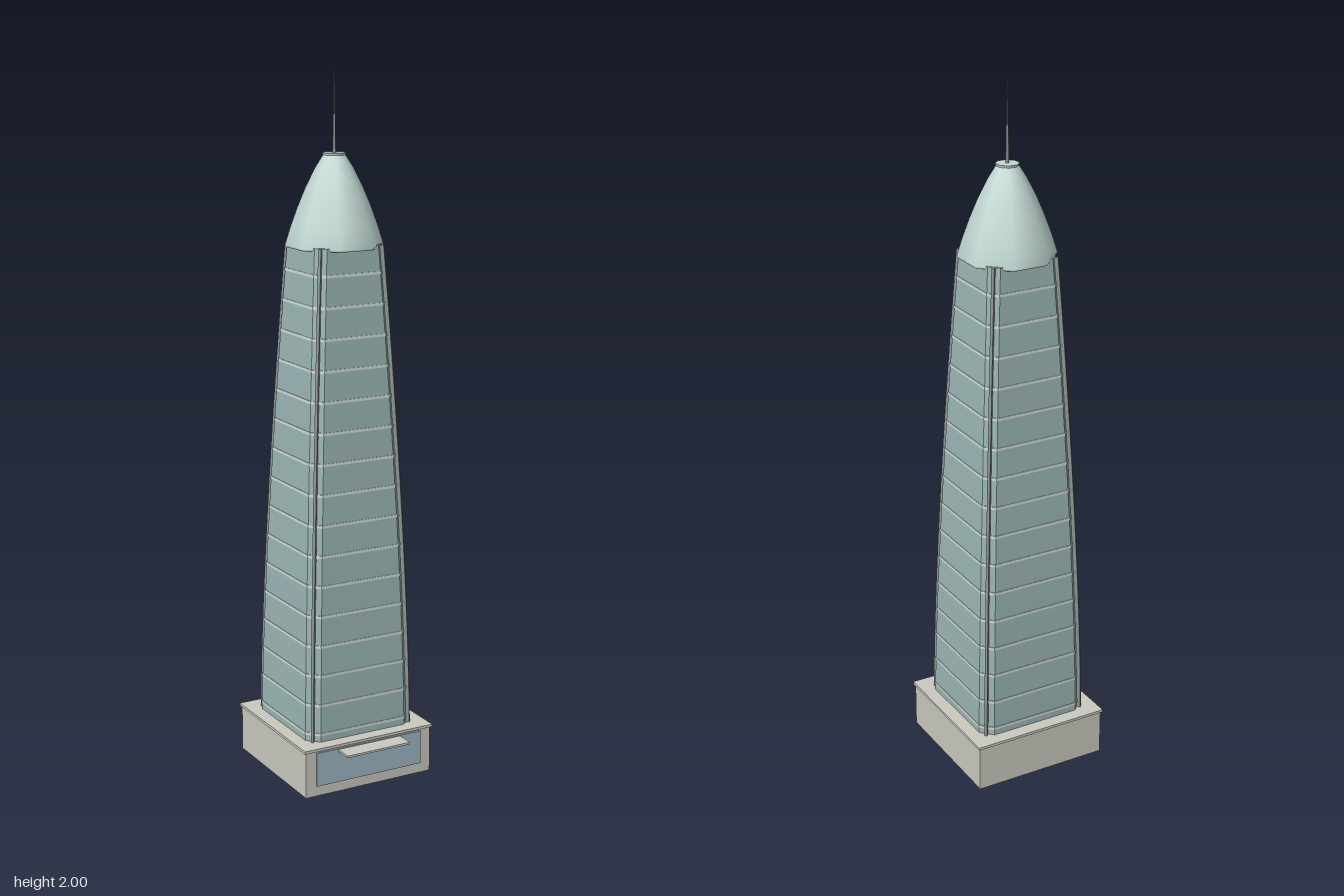
import * as THREE from 'three';

const CZ = -0.028;              // tower axis in z
const Y0 = 0.14, Y1 = 1.53;     // shaft bottom and top

const mat = (color) => new THREE.MeshStandardMaterial({ color });
const stone = mat(0xc9c9c0), glass = mat(0x9ab5b4), band = mat(0xcddad6);
const crownMat = mat(0xc2d9d3), metal = mat(0x8c9493), window_ = mat(0x9fb6c4);

// Shaft taper: half width and corner chamfer at height y
const t = (y) => (y - Y0) / (Y1 - Y0);
const half = (y) => 0.169 - 0.064 * Math.pow(Math.max(t(y), 0), 1.4);
const chamfer = (y) => 0.033 - 0.008 * t(y);

// Chamfered square section at height y, pushed out by d
function section(y, d = 0) {
  const h = half(y) + d, k = h - chamfer(y);
  return [[h, -k], [h, k], [k, h], [-k, h], [-h, k], [-h, -k], [-k, -h], [k, -h]]
    .map(([x, z]) => new THREE.Vector3(x, y, z));
}

// Rectangular fin section on the +x axis, to be turned to a corner
function finSection(y) {
  const r = (2 * half(y) - chamfer(y)) / Math.SQRT2, w = 0.004;
  return [[r + 0.011, -w], [r + 0.011, w], [r - 0.01, w], [r - 0.01, -w]]
    .map(([x, z]) => new THREE.Vector3(x, y, z));
}

// Skin a stack of rings and close both ends
function loft(rings) {
  const pos = [];
  const tri = (...p) => p.forEach((v) => pos.push(v.x, v.y, v.z));
  const n = rings[0].length;
  for (let i = 0; i < rings.length - 1; i++) {
    for (let j = 0; j < n; j++) {
      const a = rings[i][j], b = rings[i][(j + 1) % n];
      const c = rings[i + 1][j], d = rings[i + 1][(j + 1) % n];
      tri(a, c, b);
      tri(b, c, d);
    }
  }
  const lo = rings[0], hi = rings[rings.length - 1];
  for (let j = 1; j < n - 1; j++) {
    tri(lo[0], lo[j], lo[j + 1]);
    tri(hi[0], hi[j + 1], hi[j]);
  }
  const g = new THREE.BufferGeometry();
  g.setAttribute('position', new THREE.Float32BufferAttribute(pos, 3));
  g.computeVertexNormals();
  return g;
}

export function createModel() {
  const model = new THREE.Group();
  model.name = 'skyscraper';

  const add = (name, geometry, material, x = 0, y = 0, z = CZ) => {
    const m = new THREE.Mesh(geometry, material);
    m.name = name;
    m.position.set(x, y, z);
    model.add(m);
    return m;
  };

  // Podium with cornice, glazed front and entrance canopy
  add('podium', new THREE.BoxGeometry(0.406, 0.136, 0.406), stone, 0, 0.068);
  add('podiumCornice', new THREE.BoxGeometry(0.416, 0.008, 0.416), stone, 0, 0.139);
  add('lobbyGlass', new THREE.BoxGeometry(0.34, 0.1, 0.008), window_, 0, 0.08, 0.175);
  add('entranceCanopy', new THREE.BoxGeometry(0.202, 0.006, 0.058), stone, 0, 0.125, 0.203);

  // Tapering glass shaft
  const heights = Array.from({ length: 17 }, (_, i) => Y0 + ((Y1 - Y0) * i) / 16);
  add('shaft', loft(heights.map((y) => section(y))), glass);

  // Light floor bands
  for (let i = 0; i < 16; i++) {
    const a = 0.161 + i * 0.086, b = a + 0.008;
    add('floorBand', loft([section(a, -0.004), section(a, 0.0015), section(b, 0.0015), section(b, -0.004)]), band);
  }

  // Fins running up the four chamfered corners
  const finGeometry = loft(heights.map(finSection));
  for (let i = 0; i < 4; i++) {
    add('cornerFin', finGeometry, metal).rotation.y = Math.PI / 4 + (i * Math.PI) / 2;
  }

  // Eight-sided curved crown
  const profile = [[0.133, 1.52], [0.137, 1.526], [0.122, 1.575], [0.102, 1.63],
    [0.079, 1.685], [0.053, 1.737], [0.031, 1.772]].map(([x, y]) => new THREE.Vector2(x, y));
  add('crown', new THREE.LatheGeometry(profile, 8, Math.PI / 8), crownMat);
  add('crownUnderside', new THREE.CylinderGeometry(0.133, 0.133, 0.002, 8, 1, false, Math.PI / 8), crownMat, 0, 1.521);
  add('crownCap', new THREE.CylinderGeometry(0.033, 0.031, 0.008, 8, 1, false, Math.PI / 8), crownMat, 0, 1.774);

  // Stepped spire
  add('spireBase', new THREE.CylinderGeometry(0.0035, 0.0045, 0.105, 12), metal, 0, 1.828);
  add('spireTip', new THREE.CylinderGeometry(0.0012, 0.0022, 0.122, 12), metal, 0, 1.939);

  return model;
}
